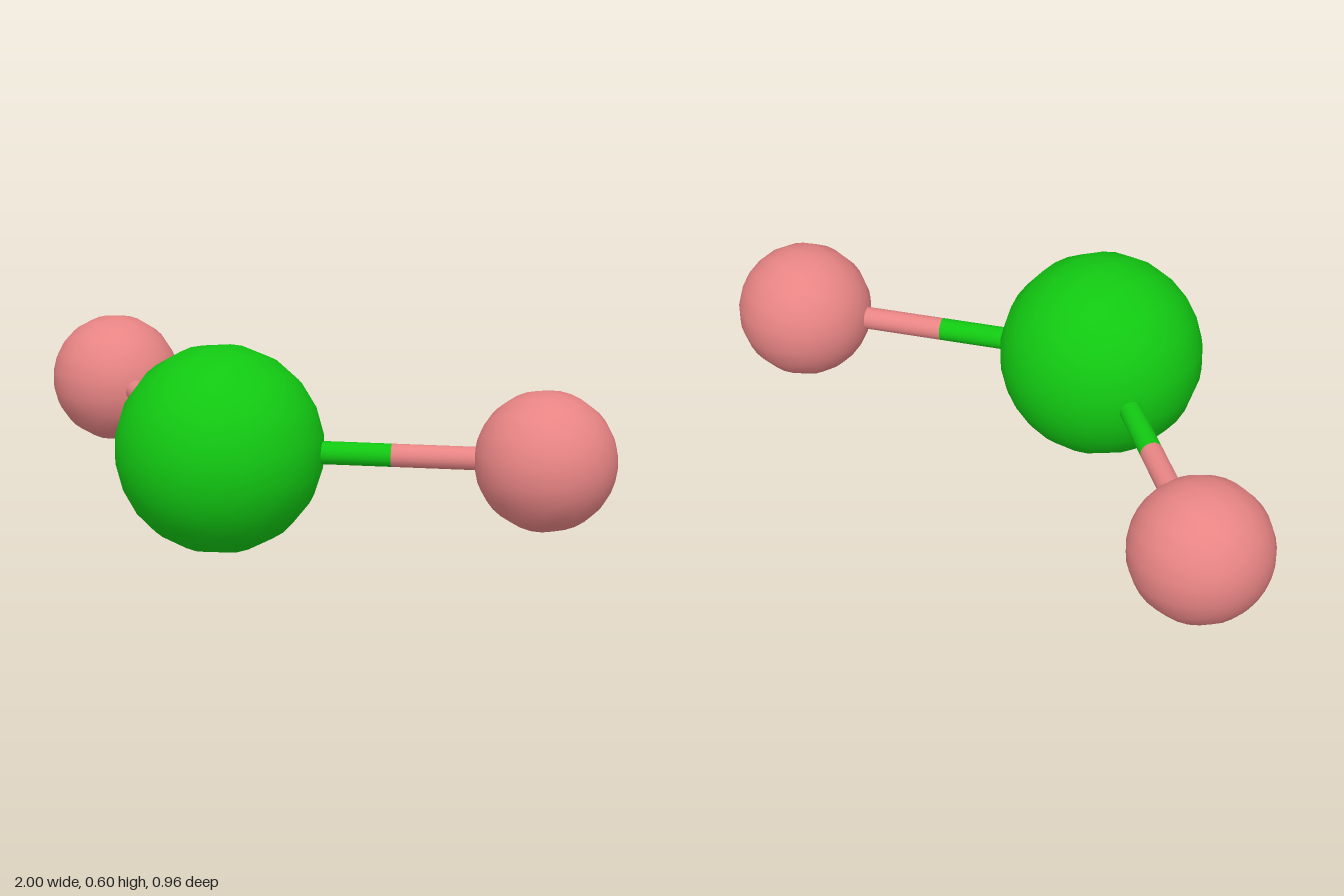
import * as THREE from 'three';

const green = new THREE.MeshStandardMaterial({ color: 0x12c812 });
const pink = new THREE.MeshStandardMaterial({ color: 0xe88484 });

export function createModel() {
  const model = new THREE.Group();
  const centre = new THREE.Vector3(0, 0.3, 0.18);

  const add = (name, geometry, material, position) => {
    const mesh = new THREE.Mesh(geometry, material);
    mesh.name = name;
    mesh.position.copy(position);
    model.add(mesh);
    return mesh;
  };

  // Round rod between two points
  const rod = (name, a, b, material) => {
    const dir = b.clone().sub(a);
    const mesh = add(name, new THREE.CylinderGeometry(0.033, 0.033, dir.length(), 18), material,
      a.clone().lerp(b, 0.5));
    mesh.quaternion.setFromUnitVectors(new THREE.Vector3(0, 1, 0), dir.normalize());
  };

  // Large central ball, poles along z
  add('centralBall', new THREE.SphereGeometry(0.3, 18, 18).rotateY(Math.PI / 2).rotateX(Math.PI / 2),
    green, centre);

  // Outer balls (poles along x) with two-coloured bonds
  for (const [side, s] of [['left', 1], ['right', -1]]) {
    const end = new THREE.Vector3(0.8 * s, 0.3, -0.28);
    const middle = centre.clone().lerp(end, 0.532);
    add(side + 'Ball', new THREE.SphereGeometry(0.2, 18, 18).rotateZ(Math.PI / 2), pink, end);
    rod(side + 'InnerBond', centre, middle, green);
    rod(side + 'OuterBond', middle, end, pink);
  }
  return model;
}
